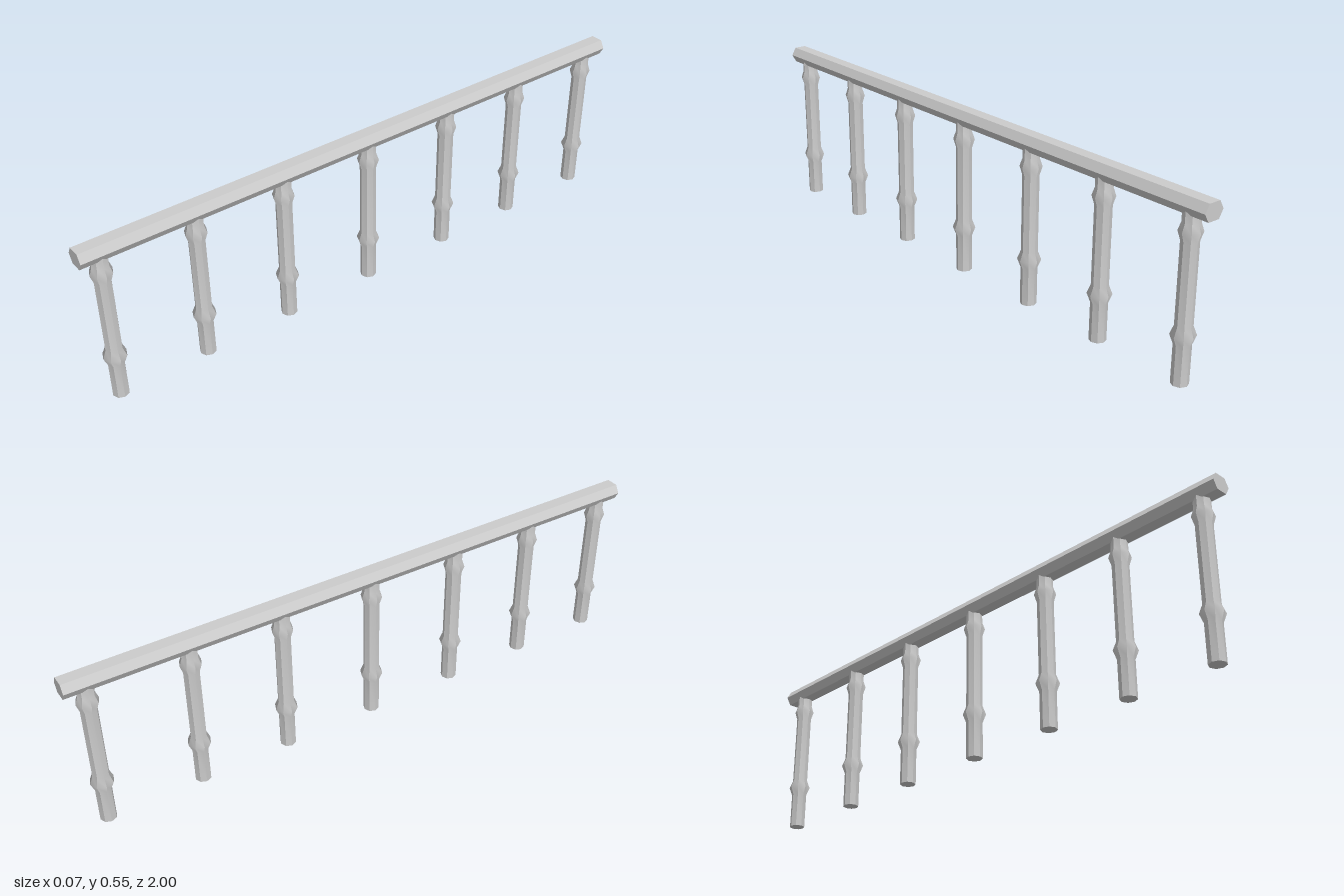
import * as THREE from 'three';
import { mergeGeometries } from 'three/addons/utils/BufferGeometryUtils.js';

const SIDES = 8;

// Post radius by height: a plain shaft with two flared collars
const POST_PROFILE = [
  [0.026, 0], [0.026, 0.121], [0.037, 0.149], [0.026, 0.177],
  [0.026, 0.424], [0.0345, 0.451], [0.026, 0.476], [0.026, 0.52],
].map(([r, y]) => new THREE.Vector2(r, y));

// Eight facets, sharp along the vertical edges and smooth along the height
function postGeometry() {
  const step = (Math.PI * 2) / SIDES;
  const parts = [];
  for (let i = 0; i < SIDES; i++) {
    const facet = new THREE.LatheGeometry(POST_PROFILE, 1, i * step, step);
    facet.computeVertexNormals();
    parts.push(facet);
  }
  // Bottom and top caps
  for (const [y, turn] of [[0, Math.PI / 2], [0.52, -Math.PI / 2]]) {
    parts.push(new THREE.CircleGeometry(0.026, SIDES).rotateX(turn).translate(0, y, 0));
  }
  return mergeGeometries(parts);
}

// Six-sided handrail running the full length
function railGeometry() {
  const section = new THREE.Shape([
    [-0.02, 0.501], [0.02, 0.501], [0.035, 0.527],
    [0.02, 0.553], [-0.02, 0.553], [-0.035, 0.527],
  ].map(([x, y]) => new THREE.Vector2(x, y)));
  return new THREE.ExtrudeGeometry(section, { depth: 2, bevelEnabled: false }).translate(0, 0, -1);
}

export function createModel() {
  const group = new THREE.Group();
  group.name = 'railing';
  const material = new THREE.MeshStandardMaterial({ color: 0xcccccc });

  const rail = new THREE.Mesh(railGeometry(), material);
  rail.name = 'handrail';
  group.add(rail);

  // Slightly uneven post spacing
  const geometry = postGeometry();
  [0.933, 0.634, 0.332, 0.013, -0.307, -0.612, -0.929].forEach((z, i) => {
    const post = new THREE.Mesh(geometry, material);
    post.name = `post${i + 1}`;
    post.position.z = z;
    group.add(post);
  });
  return group;
}
